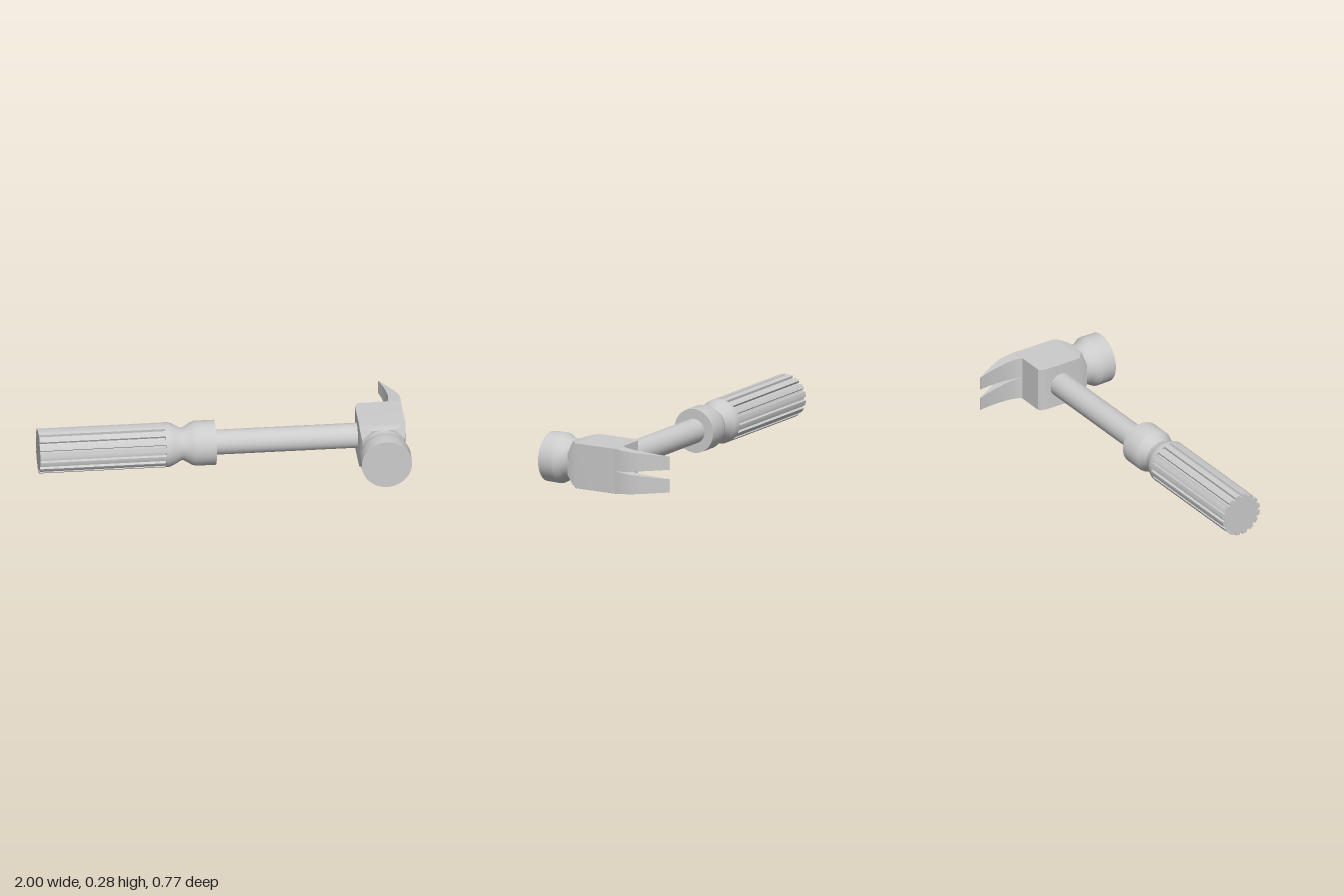
import * as THREE from 'three';
import { toCreasedNormals } from 'three/addons/utils/BufferGeometryUtils.js';

const material = new THREE.MeshStandardMaterial({ color: 0xcccccc });
const AXIS_Y = 0.14, HANDLE_Z = 0.033, HEAD_X = 0.86;

function addMesh(group, name, geometry, crease = 0.5) {
  const mesh = new THREE.Mesh(toCreasedNormals(geometry, crease), material);
  mesh.name = name;
  group.add(mesh);
  return mesh;
}

function lathe(points, segments) {
  return new THREE.LatheGeometry(points.map(([r, h]) => new THREE.Vector2(r, h)), segments);
}

// Skins counter-clockwise rings of [x, y, z], ordered by rising z, and caps both ends.
function loft(rings) {
  const n = rings[0].length, index = [];
  for (let i = 0; i < rings.length - 1; i++) {
    for (let j = 0; j < n; j++) {
      const a = i * n + j, b = i * n + (j + 1) % n;
      index.push(a, b, b + n, a, b + n, a + n);
    }
  }
  const last = (rings.length - 1) * n;
  for (let j = 1; j < n - 1; j++) {
    index.push(0, j + 1, j, last, last + j, last + j + 1);
  }
  const geometry = new THREE.BufferGeometry();
  geometry.setAttribute('position', new THREE.Float32BufferAttribute(rings.flat(2), 3));
  geometry.setIndex(index);
  return geometry;
}

// Rectangle with cut corners
function blockRing([z, x0, x1, h, c]) {
  const lo = AXIS_Y - h, hi = AXIS_Y + h;
  return [
    [x0 + c, lo, z], [x1 - c, lo, z], [x1, lo + c, z], [x1, hi - c, z],
    [x1 - c, hi, z], [x0 + c, hi, z], [x0, hi - c, z], [x0, lo + c, z],
  ];
}

// Circular section with evenly spaced flutes cut into it
function flutedShape(radius, depth, count) {
  const points = [];
  const step = (Math.PI * 2) / count;
  for (let i = 0; i < count; i++) {
    for (const [t, d] of [[-0.2, 0], [-0.13, depth], [0.13, depth], [0.2, 0], [0.4, 0], [0.6, 0]]) {
      const a = (i + t) * step, r = radius - d;
      points.push(new THREE.Vector2(Math.cos(a) * r, Math.sin(a) * r));
    }
  }
  return new THREE.Shape(points);
}

export function createModel() {
  const hammer = new THREE.Group();
  hammer.name = 'hammer';

  // Handle, running along x
  const handle = new THREE.Group();
  handle.name = 'handle';
  handle.position.set(0, AXIS_Y, HANDLE_Z);
  hammer.add(handle);

  const grip = new THREE.ExtrudeGeometry(flutedShape(0.122, 0.013, 16), { depth: 0.69, bevelEnabled: false });
  grip.rotateY(Math.PI / 2).translate(-1, 0, 0);
  addMesh(handle, 'flutedGrip', grip);

  const collar = lathe([
    [0, -0.315], [0.122, -0.315], [0.122, -0.295], [0.113, -0.27], [0.088, -0.225], [0.088, -0.215],
    [0.116, -0.168], [0.122, -0.15], [0.122, -0.04], [0, -0.04],
  ], 40);
  addMesh(handle, 'gripCollar', collar.rotateZ(-Math.PI / 2), 0.7);

  const shaft = new THREE.CylinderGeometry(0.068, 0.068, 0.82, 32);
  addMesh(handle, 'shaft', shaft.rotateZ(Math.PI / 2).translate(0.35, 0, 0));

  // Head, running along z
  const head = new THREE.Group();
  head.name = 'head';
  hammer.add(head);

  // Block: rounded at the back shaft side, corners cut away towards the neck
  addMesh(head, 'headBlock', loft([
    [-0.102, 0.755, 0.985, 0.125, 0.0005],
    [-0.092, 0.742, 0.985, 0.125, 0.0005],
    [-0.06, 0.733, 0.985, 0.125, 0.0005],
    [0.155, 0.733, 0.985, 0.125, 0.0005],
    [0.18, 0.736, 0.983, 0.124, 0.026],
    [0.21, 0.744, 0.975, 0.116, 0.055],
  ].map(blockRing)), 0.35);

  // Neck and striking face
  const face = lathe([
    [0, 0.1], [0.125, 0.1], [0.125, 0.165], [0.12, 0.19], [0.115, 0.22], [0.115, 0.255],
    [0.122, 0.27], [0.137, 0.295], [0.139, 0.305], [0.137, 0.385], [0, 0.385],
  ], 48);
  face.rotateX(Math.PI / 2).translate(HEAD_X, AXIS_Y, 0);
  addMesh(head, 'strikingFace', face, 0.7);

  // Pair of claw prongs: z, inner x, outer x, slot-side y, outer y
  const prong = [
    [-0.385, 0.893, 0.897, 0.026, 0.1],
    [-0.33, 0.907, 0.924, 0.021, 0.105],
    [-0.27, 0.917, 0.954, 0.016, 0.11],
    [-0.2, 0.924, 0.983, 0.009, 0.116],
    [-0.15, 0.923, 0.988, 0.004, 0.12],
    [-0.118, 0.917, 0.987, 0.0015, 0.123],
    [-0.09, 0.9, 0.985, 0, 0.125],
  ];
  for (const side of [1, -1]) {
    const rings = prong.map(([z, x0, x1, near, far]) => {
      const [lo, hi] = [near * side, far * side].sort((a, b) => a - b).map((y) => AXIS_Y + y);
      return [[x0, lo, z], [x1, lo, z], [x1, hi, z], [x0, hi, z]];
    });
    addMesh(head, side > 0 ? 'upperClaw' : 'lowerClaw', loft(rings), 0.6);
  }

  return hammer;
}
